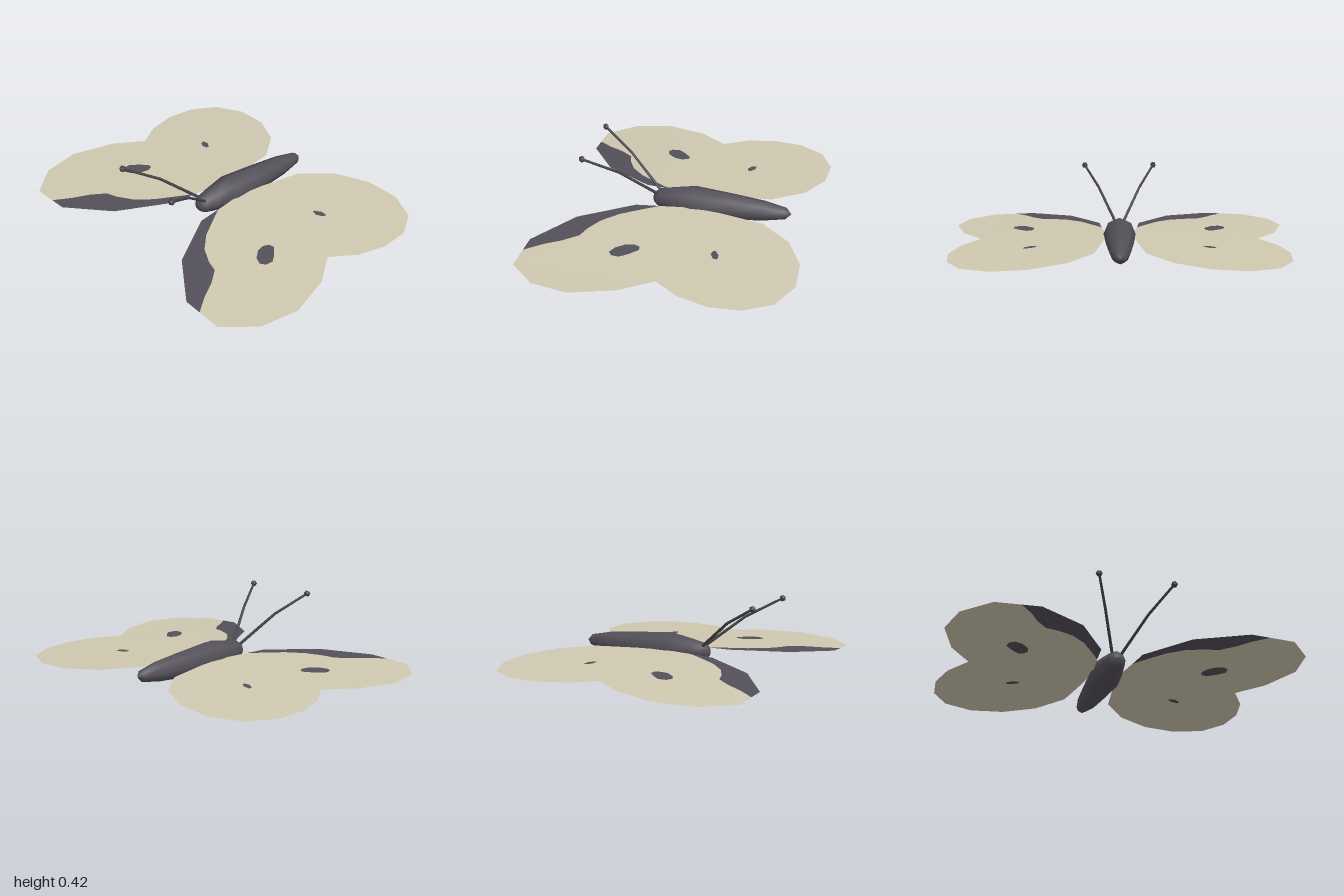
import * as THREE from 'three';

const wingCream = new THREE.MeshStandardMaterial({ color: 0xcfc8b0, side: THREE.DoubleSide });
const markingGrey = new THREE.MeshStandardMaterial({ color: 0x53505a, side: THREE.DoubleSide });
const bodyGrey = new THREE.MeshStandardMaterial({ color: 0x545059 });
const antennaGrey = new THREE.MeshStandardMaterial({ color: 0x454447 });
wingCream.name = 'wingCream';
markingGrey.name = 'markingGrey';
bodyGrey.name = 'bodyGrey';
antennaGrey.name = 'antennaGrey';

// Outlines of the left (+x) wing as [x, z]
const foreSpot = [[0.465, -0.285], [0.5, -0.31], [0.54, -0.31], [0.535, -0.285], [0.5, -0.265], [0.47, -0.27]];
const hindSpot = [[0.51, 0.165], [0.525, 0.13], [0.555, 0.125], [0.605, 0.17], [0.64, 0.215],
  [0.635, 0.26], [0.605, 0.28], [0.56, 0.26], [0.52, 0.21]];
const foreWing = [[0.08, -0.04], [0.095, -0.22], [0.14, -0.48], [0.28, -0.655], [0.47, -0.75], [0.67, -0.76],
  [0.84, -0.68], [0.93, -0.53], [0.945, -0.355], [0.9, -0.185], [0.805, -0.04]];
// Wavy line between the pale hind wing and its dark border
const borderLine = [[0.105, 0.135], [0.145, 0.2], [0.19, 0.27], [0.235, 0.34], [0.32, 0.425], [0.415, 0.475],
  [0.485, 0.495], [0.55, 0.575], [0.6, 0.665], [0.67, 0.76]];
const hindWing = [[0.08, -0.04], [0.805, -0.04], [0.925, 0.13], [1, 0.38], [0.955, 0.6], [0.81, 0.76],
  ...[...borderLine].reverse()];
const hindBorder = [...borderLine, [0.565, 0.76], [0.305, 0.575], [0.12, 0.275]];

// Wings droop towards the tips and a little to front and back
const wingHeight = (x, z) => 0.104 - 0.04 * Math.abs(x) - (z > 0 ? 0.047 : 0.012) * z * z;

function wingPanel(name, outline, holes, side, material) {
  const toPoints = list => list.map(([x, z]) => new THREE.Vector2(x * side, z));
  const shape = new THREE.Shape(toPoints(outline));
  holes.forEach(h => shape.holes.push(new THREE.Path(toPoints(h))));
  const geometry = new THREE.ShapeGeometry(shape);
  const pos = geometry.attributes.position;
  for (let i = 0; i < pos.count; i++) {
    const x = pos.getX(i), z = pos.getY(i);
    pos.setXYZ(i, x, wingHeight(x, z), z);
  }
  geometry.computeVertexNormals();
  const mesh = new THREE.Mesh(geometry, material);
  mesh.name = name;
  return mesh;
}

function createWing(side) {
  const wing = new THREE.Group();
  wing.name = side > 0 ? 'leftWing' : 'rightWing';
  wing.add(
    wingPanel('foreWing', foreWing, [foreSpot], side, wingCream),
    wingPanel('hindWing', hindWing, [hindSpot], side, wingCream),
    wingPanel('foreSpot', foreSpot, [], side, markingGrey),
    wingPanel('hindSpot', hindSpot, [], side, markingGrey),
    wingPanel('hindBorder', hindBorder, [], side, markingGrey),
  );
  return wing;
}

// Straight rod between two points
function rod(a, b, r1, r2) {
  const dir = b.clone().sub(a);
  const mesh = new THREE.Mesh(new THREE.CylinderGeometry(r2, r1, dir.length(), 6), antennaGrey);
  mesh.position.copy(a).add(b).multiplyScalar(0.5);
  mesh.quaternion.setFromUnitVectors(new THREE.Vector3(0, 1, 0), dir.normalize());
  mesh.name = 'antennaRod';
  return mesh;
}

function createAntenna(side) {
  const antenna = new THREE.Group();
  antenna.name = side > 0 ? 'leftAntenna' : 'rightAntenna';
  const root = new THREE.Vector3(0.025 * side, 0.13, 0.165);
  const bend = new THREE.Vector3(0.125 * side, 0.3, 0.37);
  const tip = new THREE.Vector3(0.215 * side, 0.407, 0.56);
  const knob = new THREE.Mesh(new THREE.IcosahedronGeometry(0.02, 0), antennaGrey);
  knob.position.copy(tip);
  knob.name = 'antennaKnob';
  antenna.add(rod(root, bend, 0.009, 0.008), rod(bend, tip, 0.008, 0.007), knob);
  return antenna;
}

export function createModel() {
  const model = new THREE.Group();
  model.name = 'butterfly';

  // Eight-sided body, [radius, z] from tail to head
  const profile = [[0, -0.622], [0.034, -0.59], [0.06, -0.46], [0.077, -0.28], [0.095, -0.04],
    [0.068, 0.1], [0.052, 0.17], [0.03, 0.195], [0, 0.205]].map(([r, z]) => new THREE.Vector2(r, z));
  const body = new THREE.Mesh(new THREE.LatheGeometry(profile, 8).rotateX(Math.PI / 2), bodyGrey);
  body.position.y = 0.097;
  body.name = 'body';
  model.add(body);

  for (const side of [1, -1]) model.add(createWing(side), createAntenna(side));
  return model;
}
